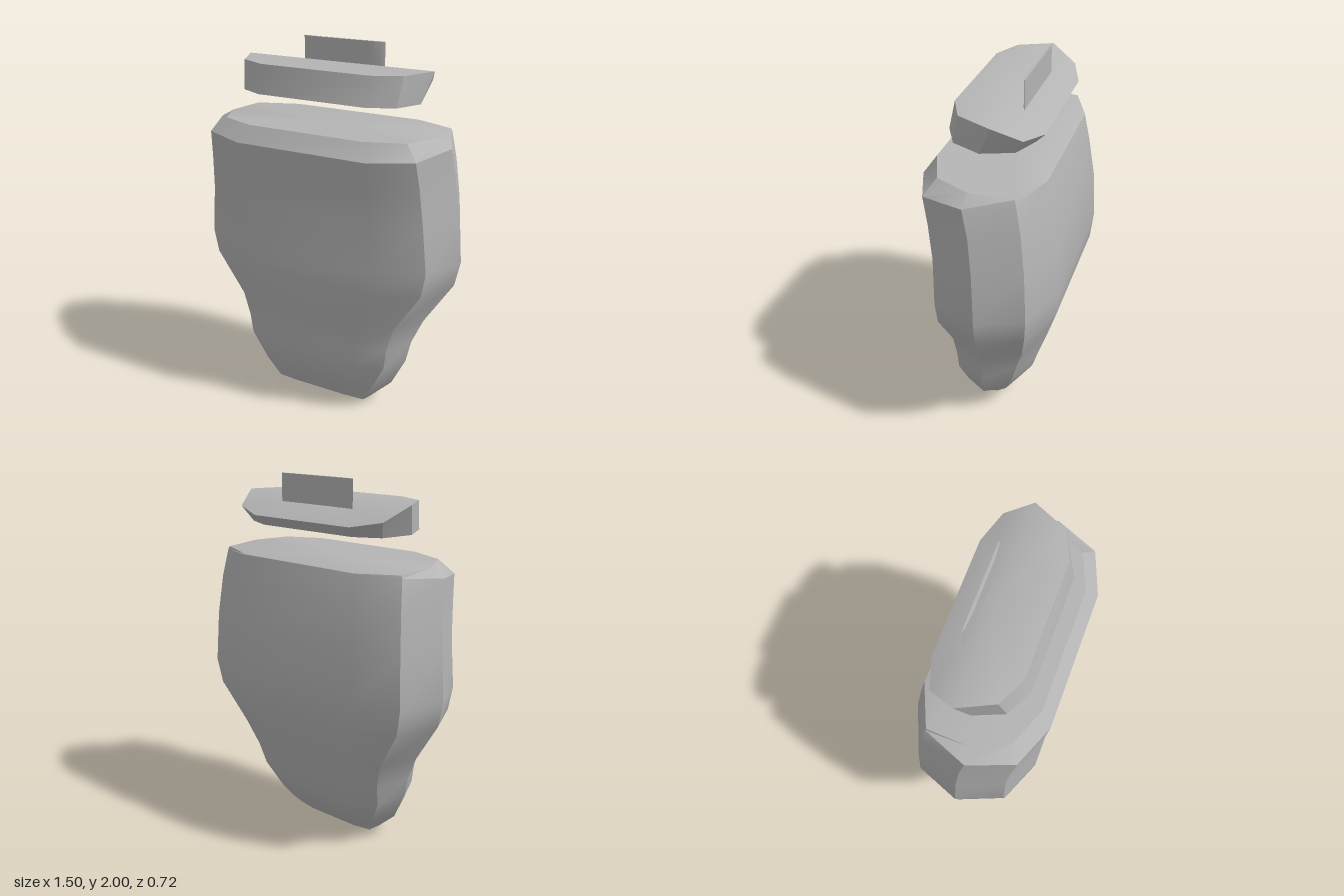
import * as THREE from 'three';
import { toCreasedNormals } from 'three/addons/utils/BufferGeometryUtils.js';

const CREASE = THREE.MathUtils.degToRad(30);

// Mirror a half outline (front to back, on +x) into a closed ring.
const mirrorRing = half => [...half, ...half.slice().reverse().map(([x, y, z]) => [-x, y, z])];

// Skin a stack of rings, lowest first, and close both ends with fans.
function loft(halves, bottomCentre, topCentre) {
  const rings = halves.map(mirrorRing);
  const n = rings[0].length;
  const positions = [...rings.flat(), bottomCentre, topCentre].flat();
  const bottom = rings.length * n, top = bottom + 1, last = bottom - n;
  const index = [];
  for (let i = 0; i < n; i++) {
    const j = (i + 1) % n;
    for (let r = 0; r < rings.length - 1; r++) {
      const a = r * n + i, b = r * n + j;
      index.push(a, b, b + n, a, b + n, a + n);
    }
    index.push(bottom, j, i, top, last + i, last + j);
  }
  const geometry = new THREE.BufferGeometry();
  geometry.setAttribute('position', new THREE.Float32BufferAttribute(positions, 3));
  geometry.setIndex(index);
  return toCreasedNormals(geometry, CREASE);
}

// Half section tilted from yFront to yBack: five widths and five depths, front to back.
function section(yFront, yBack, xs, zs) {
  return xs.map((x, i) => {
    const t = (zs[0] - zs[i]) / (zs[0] - zs[4]);
    return [x, yFront + (yBack - yFront) * t, zs[i]];
  });
}

export function createModel() {
  const model = new THREE.Group();
  model.name = 'torsoShell';
  const grey = new THREE.MeshStandardMaterial({ color: 0xb4b4b4 });
  grey.name = 'plain grey';

  const add = (name, geometry) => {
    const mesh = new THREE.Mesh(geometry, grey);
    mesh.name = name;
    model.add(mesh);
  };

  // Body: tapered at the waist, broad at the chest, bevelled at the front of the top
  const body = [
    section(0.03, 0.005, [0.16, 0.275, 0.285, 0.26, 0.16], [0.155, 0.145, 0.09, 0.03, 0.015]),
    section(0.15, 0.12, [0.22, 0.345, 0.41, 0.34, 0.21], [0.225, 0.175, 0.06, -0.05, -0.10]),
    section(0.31, 0.27, [0.27, 0.425, 0.487, 0.42, 0.26], [0.268, 0.198, 0.045, -0.11, -0.185]),
    section(0.42, 0.40, [0.28, 0.44, 0.512, 0.44, 0.28], [0.268, 0.2, 0.035, -0.145, -0.225]),
    section(0.55, 0.55, [0.3, 0.475, 0.572, 0.49, 0.31], [0.285, 0.205, 0.02, -0.19, -0.275]),
    section(0.79, 0.78, [0.4, 0.63, 0.722, 0.63, 0.39], [0.315, 0.218, -0.015, -0.245, -0.345]),
    section(0.92, 0.92, [0.4, 0.655, 0.75, 0.655, 0.41], [0.322, 0.22, -0.02, -0.258, -0.358]),
    section(1.18, 1.20, [0.38, 0.63, 0.728, 0.64, 0.4], [0.322, 0.225, -0.01, -0.245, -0.345]),
    section(1.36, 1.42, [0.37, 0.615, 0.705, 0.62, 0.39], [0.345, 0.245, 0.01, -0.22, -0.31]),
    section(1.505, 1.573, [0.37, 0.6, 0.69, 0.6, 0.38], [0.36, 0.27, 0.04, -0.19, -0.28]),
    section(1.59, 1.576, [0.33, 0.53, 0.61, 0.595, 0.377], [0.30, 0.22, 0.04, -0.185, -0.275]),
  ];
  add('body', loft(body, [0, 0.017, 0.085], [0, 1.583, 0.01]));

  // Collar: floating slab with flared sides and a back that slopes down
  const collar = [
    section(1.74, 1.73, [0.31, 0.445, 0.505, 0.44, 0.30], [0.235, 0.165, 0.015, -0.14, -0.20]),
    [[0.31, 1.89, 0.20], [0.46, 1.89, 0.13], [0.545, 1.89, -0.05], [0.48, 1.815, -0.19], [0.32, 1.785, -0.25]],
  ];
  add('collar', loft(collar, [0, 1.735, 0.015], [0, 1.89, -0.05]));

  // Upright plate: flat at the back, slightly bowed at the front
  const outline = new THREE.Shape();
  outline.moveTo(-0.24, 0.121);
  outline.lineTo(0.24, 0.121);
  outline.lineTo(0.22, 0.112);
  outline.lineTo(0.14, 0.106);
  outline.lineTo(-0.14, 0.106);
  outline.lineTo(-0.22, 0.112);
  const plate = new THREE.ExtrudeGeometry(outline, { depth: 0.155, bevelEnabled: false });
  plate.rotateX(-Math.PI / 2).translate(0, 1.845, 0);
  add('uprightPlate', toCreasedNormals(plate, CREASE));

  return model;
}
